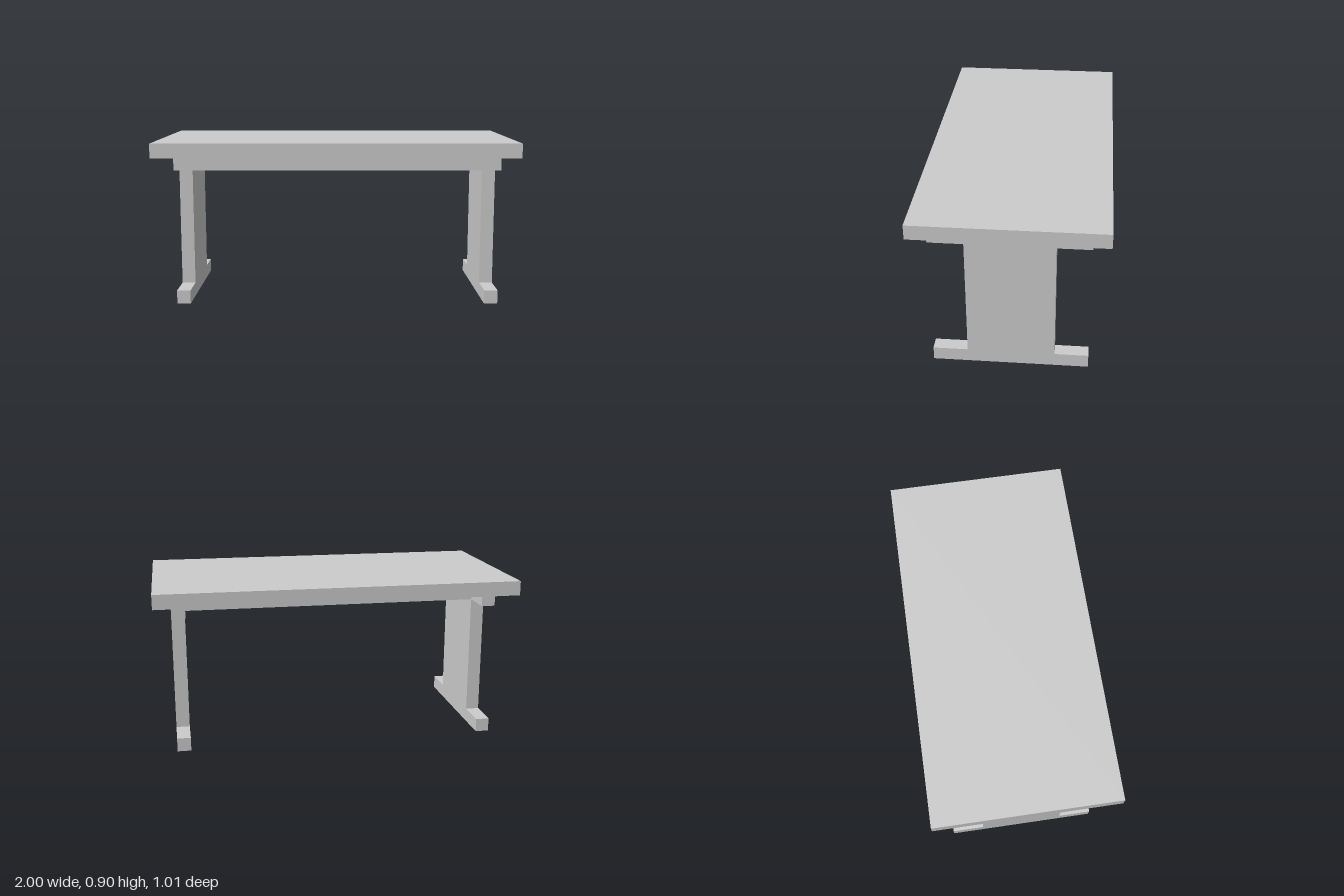
import * as THREE from 'three';

const material = new THREE.MeshStandardMaterial({ color: 0xcccccc, flatShading: true });

// Box given by its extents on each axis
function box(name, [x0, x1], [y0, y1], [z0, z1]) {
  const mesh = new THREE.Mesh(new THREE.BoxGeometry(x1 - x0, y1 - y0, z1 - z0), material);
  mesh.position.set((x0 + x1) / 2, (y0 + y1) / 2, (z0 + z1) / 2);
  mesh.name = name;
  return mesh;
}

// I-shaped end frame: foot, upright panel and top bar in one profile (z, y)
function endFrame(name, x0, x1) {
  const profile = [
    [-0.415, 0], [0.415, 0], [0.415, 0.075], [0.23, 0.075],
    [0.23, 0.75], [0.415, 0.75], [0.415, 0.825], [-0.415, 0.825],
    [-0.415, 0.75], [-0.235, 0.75], [-0.235, 0.075], [-0.415, 0.075],
  ];
  const shape = new THREE.Shape(profile.map(([z, y]) => new THREE.Vector2(z, y)));
  const geometry = new THREE.ExtrudeGeometry(shape, { depth: x1 - x0, bevelEnabled: false });
  geometry.rotateY(-Math.PI / 2); // profile now runs along z, depth along -x
  geometry.translate(x1, 0, 0);
  const mesh = new THREE.Mesh(geometry, material);
  mesh.name = name;
  return mesh;
}

export function createModel() {
  const table = new THREE.Group();
  table.name = 'table';

  table.add(box('tableTop', [-1, 1], [0.825, 0.905], [-0.505, 0.505]));
  table.add(endFrame('rightLegFrame', -0.89, -0.815));
  table.add(endFrame('leftLegFrame', 0.83, 0.905));

  // Rails joining the two frames under the top
  table.add(box('frontRail', [-0.815, 0.83], [0.75, 0.825], [0.315, 0.415]));
  table.add(box('backRail', [-0.815, 0.83], [0.75, 0.825], [-0.235, -0.135]));

  return table;
}
